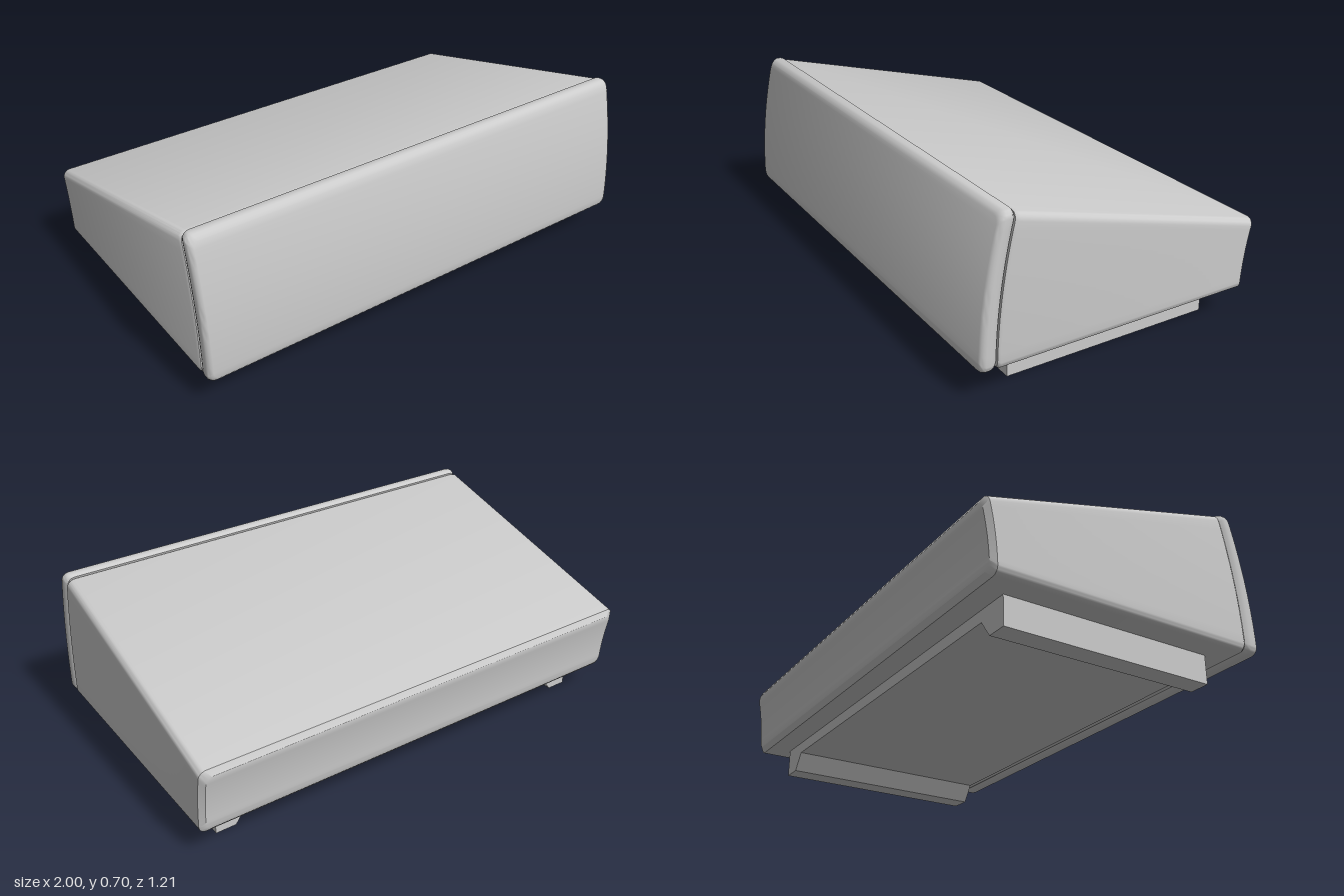
import * as THREE from 'three';
import { toCreasedNormals } from 'three/addons/utils/BufferGeometryUtils.js';

const material = new THREE.MeshStandardMaterial({ color: 0xcccccc });
const BOTTOM = 0.117;

// Height-dependent depth: an arc leaning back as it rises
const arc = (z, bend) => (y) => z - bend * (y - BOTTOM) ** 2;

// Right half of a rounded rectangle, bottom to top, bent along z
function halfSection({ inset, top, z }, radius = 0.03, cornerSteps = 6, sideSteps = 14) {
  const w = 1 - inset, y0 = BOTTOM + inset, y1 = top - inset;
  const points = [];
  const add = (x, y) => points.push([x, y, z(y)]);
  for (let i = 0; i <= cornerSteps; i++) {
    const a = (i / cornerSteps) * Math.PI / 2;
    add(w - radius + radius * Math.sin(a), y0 + radius - radius * Math.cos(a));
  }
  for (let i = 1; i < sideSteps; i++) {
    add(w, y0 + radius + (y1 - y0 - 2 * radius) * i / sideSteps);
  }
  for (let i = 0; i <= cornerSteps; i++) {
    const a = (i / cornerSteps) * Math.PI / 2;
    add(w - radius + radius * Math.cos(a), y1 - radius + radius * Math.sin(a));
  }
  return points;
}

// Skin sections from front to back and close both ends with curved caps
function loft(sections) {
  const positions = [], index = [];
  let half = 0;
  for (const section of sections) {
    const right = halfSection(section);
    half = right.length;
    const left = right.map(([x, y, z]) => [-x, y, z]).reverse();
    positions.push(...right.flat(), ...left.flat());
  }
  const n = half * 2;
  for (let s = 0; s < sections.length - 1; s++) {
    for (let i = 0; i < n; i++) {
      const j = (i + 1) % n;
      const a = s * n + i, a2 = s * n + j, b = a + n, b2 = a2 + n;
      index.push(a, b, a2, b, b2, a2);
    }
  }
  const last = (sections.length - 1) * n;
  for (let i = 0; i < half - 1; i++) {
    const l = n - 1 - i;
    index.push(i, i + 1, l, i + 1, l - 1, l);
    index.push(last + i, last + l, last + i + 1, last + i + 1, last + l, last + l - 1);
  }
  const geometry = new THREE.BufferGeometry();
  geometry.setAttribute('position', new THREE.Float32BufferAttribute(positions, 3));
  geometry.setIndex(index);
  return toCreasedNormals(geometry, 0.7);
}

export function createModel() {
  const group = new THREE.Group();
  const add = (name, geometry) => {
    const mesh = new THREE.Mesh(geometry, material);
    mesh.name = name;
    group.add(mesh);
  };

  // Curved front panel with softened edges
  const panelTop = 0.697;
  add('frontPanel', loft([
    { inset: 0.018, top: panelTop, z: arc(0.605, 0.235) },
    { inset: 0.009, top: panelTop, z: arc(0.599, 0.235) },
    { inset: 0.003, top: panelTop, z: arc(0.592, 0.235) },
    { inset: 0, top: panelTop, z: arc(0.582, 0.23) },
    { inset: 0, top: panelTop, z: arc(0.562, 0.22) },
    { inset: 0.003, top: panelTop, z: arc(0.55, 0.215) },
    { inset: 0.01, top: panelTop, z: arc(0.54, 0.215) },
  ]));

  // Wedge housing: recessed neck, sloping top, bevelled back
  add('housing', loft([
    { inset: 0.02, top: 0.695, z: arc(0.545, 0.215) },
    { inset: 0.02, top: 0.69, z: arc(0.535, 0.215) },
    { inset: 0.006, top: 0.687, z: arc(0.535, 0.215) },
    { inset: 0, top: 0.683, z: arc(0.525, 0.215) },
    { inset: 0, top: 0.406, z: arc(-0.552, 0.42) },
    { inset: 0.02, top: 0.402, z: arc(-0.57, 0.45) },
  ]));

  // Base plate with a tapered foot rail along each side
  const outline = [
    [0.89, 0.125], [-0.89, 0.125], [-0.89, 0], [-0.805, 0],
    [-0.755, 0.07], [0.755, 0.07], [0.805, 0], [0.89, 0],
  ].map(([x, y]) => new THREE.Vector2(x, y));
  const base = new THREE.ExtrudeGeometry(new THREE.Shape(outline), { depth: 0.89, bevelEnabled: false });
  base.translate(0, 0, -0.46);
  add('baseWithFeet', base);

  return group;
}
